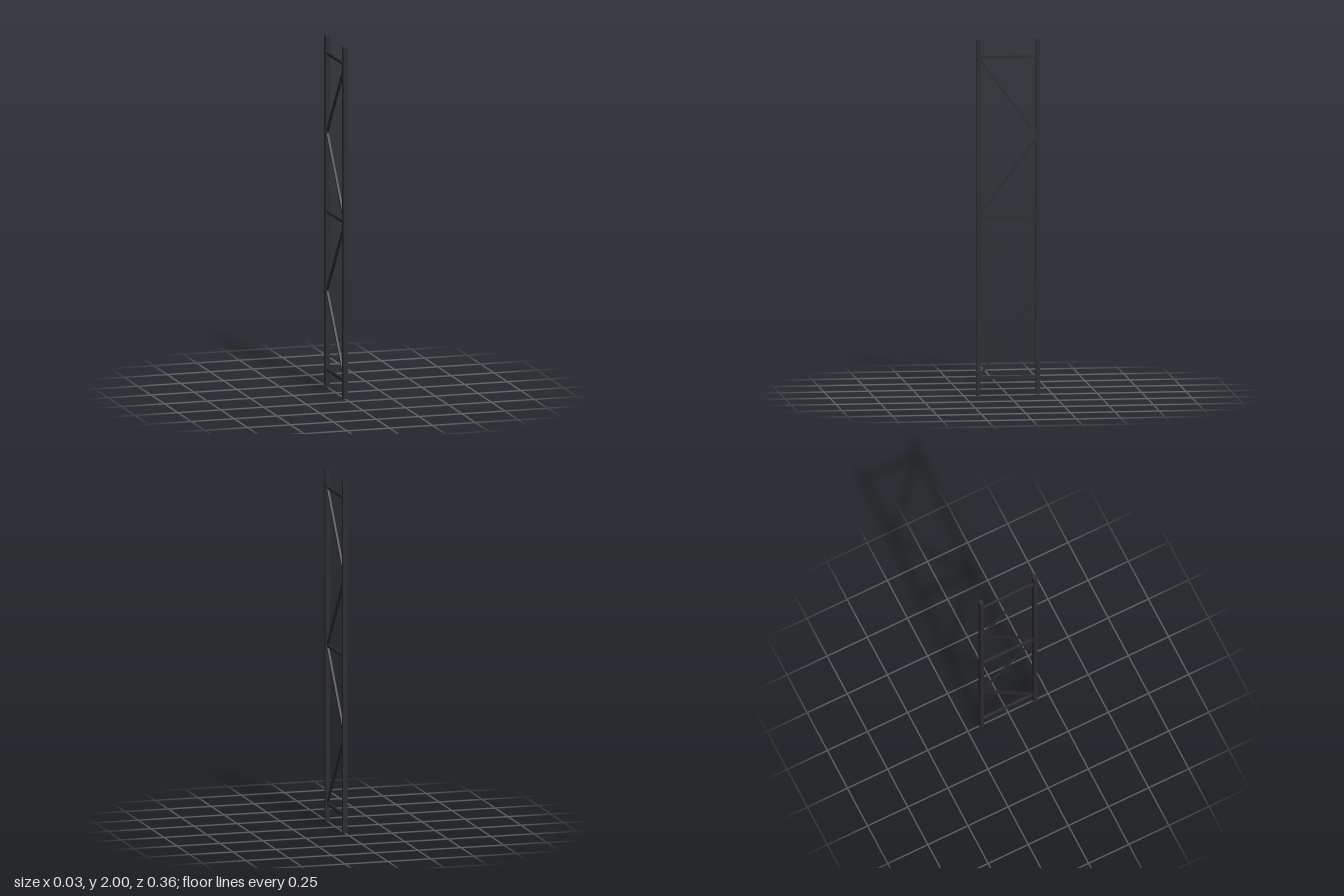
import * as THREE from 'three';

export function createModel() {
  const model = new THREE.Group();
  const material = new THREE.MeshStandardMaterial({ color: 0x2a2b2e });
  const postZ = 0.167;

  // Straight bar of rectangular section between two points in the x = 0 plane
  function bar(name, z0, y0, z1, y1, width, depth) {
    const length = Math.hypot(z1 - z0, y1 - y0);
    const mesh = new THREE.Mesh(new THREE.BoxGeometry(width, length, depth), material);
    mesh.name = name;
    mesh.position.set(0, (y0 + y1) / 2, (z0 + z1) / 2);
    mesh.rotation.x = Math.atan2(z1 - z0, y1 - y0);
    model.add(mesh);
  }

  // Upright posts, front and back
  bar('frontPost', postZ, 0, postZ, 2, 0.026, 0.023);
  bar('backPost', -postZ, 0, -postZ, 2, 0.026, 0.023);

  // Horizontal rungs
  for (const y of [0.1, 1, 1.9]) bar('rung', -postZ, y, postZ, y, 0.013, 0.016);

  // Zigzag diagonal braces
  for (let i = 0; i < 4; i++) {
    const side = i % 2 ? -1 : 1;
    const y = 0.1 + i * 0.45;
    bar('diagonalBrace', side * postZ, y, -side * postZ, y + 0.45, 0.012, 0.012);
  }

  return model;
}
